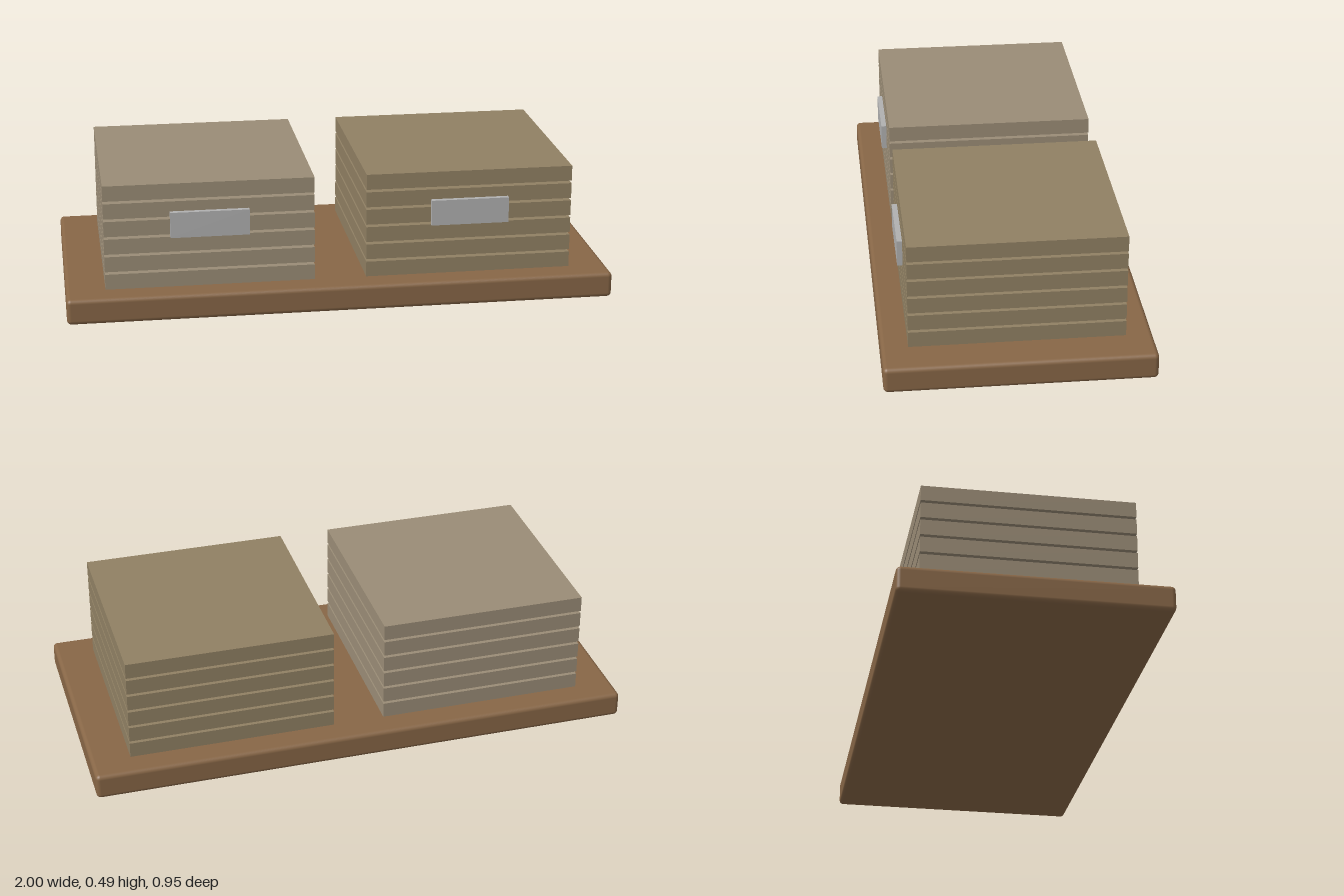
import * as THREE from 'three';
import { RoundedBoxGeometry } from 'three/addons/geometries/RoundedBoxGeometry.js';

const BASE = { w: 2, h: 0.095, d: 0.952 };
const STACK = { size: 0.762, slat: 0.057, step: 0.0667, count: 6, x: 0.476 };

function addPart(parent, name, geometry, color, x, y, z) {
  const mesh = new THREE.Mesh(geometry, new THREE.MeshStandardMaterial({ color }));
  mesh.name = name;
  mesh.position.set(x, y, z);
  parent.add(mesh);
  return mesh;
}

// Stack of evenly spaced square boards with a label plate on its front
function createStack(name, color) {
  const stack = new THREE.Group();
  stack.name = name;
  const board = new THREE.BoxGeometry(STACK.size, STACK.slat, STACK.size);
  for (let i = 0; i < STACK.count; i++) {
    addPart(stack, `board${i + 1}`, board, color, 0, STACK.slat / 2 + i * STACK.step, 0);
  }
  const plate = new THREE.BoxGeometry(0.286, 0.095, 0.019);
  addPart(stack, 'labelPlate', plate, 0xb0b0b0, 0, 0.239, STACK.size / 2 + 0.0095);
  return stack;
}

export function createModel() {
  const model = new THREE.Group();
  model.name = 'boardStacksOnBase';

  // Base slab with softly rounded edges
  const slab = new RoundedBoxGeometry(BASE.w, BASE.h, BASE.d, 3, 0.016);
  addPart(model, 'base', slab, 0x876646, 0, BASE.h / 2, 0);

  // Two stacks side by side
  const left = createStack('leftStack', 0x908063);
  const right = createStack('rightStack', 0x9a8c76);
  left.position.set(STACK.x, BASE.h, 0);
  right.position.set(-STACK.x, BASE.h, 0);
  model.add(left, right);

  return model;
}
